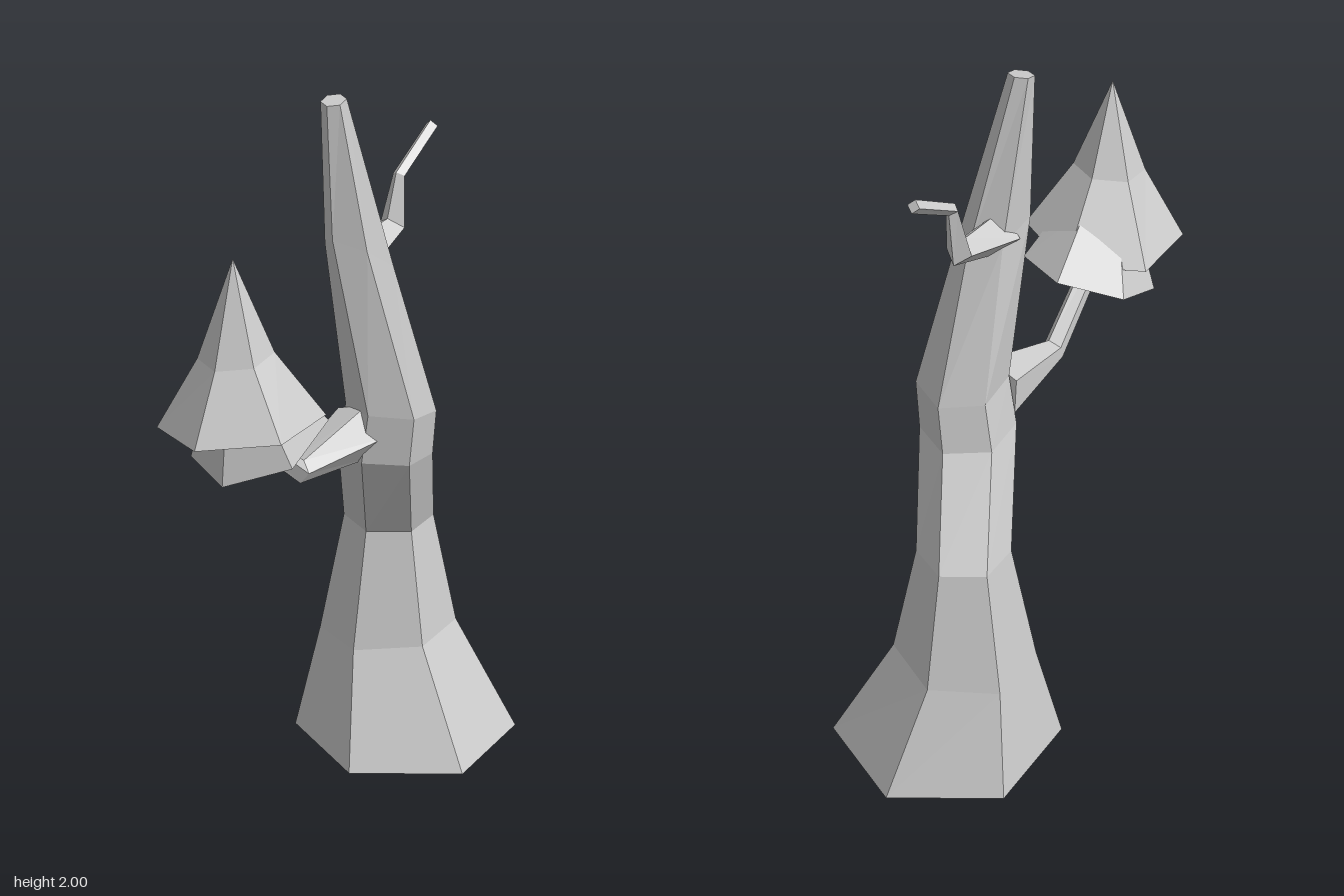
import * as THREE from 'three';

const V = (x, y, z) => new THREE.Vector3(x, y, z);
const material = new THREE.MeshStandardMaterial({ color: 0xcccccc, flatShading: true });

// One polygon ring around c, spanned by u and v (u x v points along the loft).
function ring(c, r, u, v, sides) {
  return Array.from({ length: sides }, (_, i) => {
    const a = (i / sides) * Math.PI * 2;
    return c.clone().addScaledVector(u, r * Math.cos(a)).addScaledVector(v, r * Math.sin(a));
  });
}

// Skin a stack of rings and close both ends.
function loft(name, rings) {
  const n = rings[0].length;
  const last = (rings.length - 1) * n;
  const index = [];
  for (let k = 0; k < last; k += n) {
    for (let i = 0; i < n; i++) {
      const j = (i + 1) % n;
      index.push(k + i, k + j, k + n + j, k + i, k + n + j, k + n + i);
    }
  }
  for (let i = 1; i < n - 1; i++) index.push(0, i + 1, i, last, last + i, last + i + 1);
  const indexed = new THREE.BufferGeometry().setFromPoints(rings.flat());
  indexed.setIndex(index);
  const geometry = indexed.toNonIndexed();
  geometry.computeVertexNormals();
  const mesh = new THREE.Mesh(geometry, material);
  mesh.name = name;
  return mesh;
}

// Upright hexagonal loft; rows are x, y, z, radius, rise along z, rise along x, skew of x along z.
function hexLoft(name, rows) {
  return loft(name, rows.map(([x, y, z, r, riseZ = 0, riseX = 0, skew = 0]) =>
    ring(V(x, y, z), r, V(skew, riseZ, 1), V(1, riseX, 0), 6)));
}

// Tapered branch with mitred bends; rows are x, y, z, radius.
function branch(name, rows, sides) {
  const p = rows.map(([x, y, z]) => V(x, y, z));
  const dir = (i) => p[i + 1].clone().sub(p[i]).normalize();
  return loft(name, rows.map((row, i) => {
    const a = dir(Math.max(i - 1, 0));
    const b = dir(Math.min(i, p.length - 2));
    const t = a.add(b).normalize();
    const u = V(1, 0, 0).addScaledVector(t, -t.x).normalize();
    return ring(p[i], row[3], u, t.clone().cross(u), sides);
  }));
}

export function createModel() {
  const tree = new THREE.Group();
  tree.name = 'tree';

  // Flared, crooked trunk
  tree.add(hexLoft('trunk', [
    [0, 0, -0.335, 0.324],
    [-0.06, 0.325, -0.333, 0.197, 0, 0.08],
    [-0.06, 0.675, -0.333, 0.128],
    [0.022, 0.96, -0.17, 0.13, 0.1],
    [0.043, 1.1, -0.162, 0.124, 0.16],
    [-0.01, 1.56, -0.08, 0.075, 0.77, 0, -0.5],
    [-0.06, 1.992, -0.033, 0.034, -0.22],
  ]));

  // Front branch carrying the foliage
  tree.add(branch('frontBranch', [
    [-0.015, 1.045, -0.09, 0.085],
    [-0.045, 1.022, 0.175, 0.033],
    [-0.05, 1.27, 0.47, 0.027],
  ], 5));

  // Bare kinked twig at the back
  tree.add(branch('backTwig', [
    [-0.025, 1.54, -0.08, 0.062],
    [-0.018, 1.583, -0.27, 0.038],
    [-0.012, 1.72, -0.292, 0.018],
    [-0.003, 1.815, -0.455, 0.018],
  ], 4));

  // Two foliage tiers with recessed undersides
  const foliage = new THREE.Group();
  foliage.name = 'foliage';
  foliage.add(hexLoft('lowerFoliage', [
    [-0.055, 1.24, 0.37, 0.09, -0.38, 0.1],
    [-0.06, 1.182, 0.343, 0.18, -0.38, 0.12],
    [-0.055, 1.36, 0.415, 0.09, -0.38, 0.1],
  ]));
  foliage.add(hexLoft('upperFoliage', [
    [-0.052, 1.31, 0.45, 0.1, 0, 0.1],
    [-0.052, 1.27, 0.44, 0.217, 0, 0.1],
    [-0.052, 1.46, 0.46, 0.098, -0.1, 0.05],
    [-0.052, 1.72, 0.467, 0.001],
  ]));
  tree.add(foliage);
  return tree;
}
